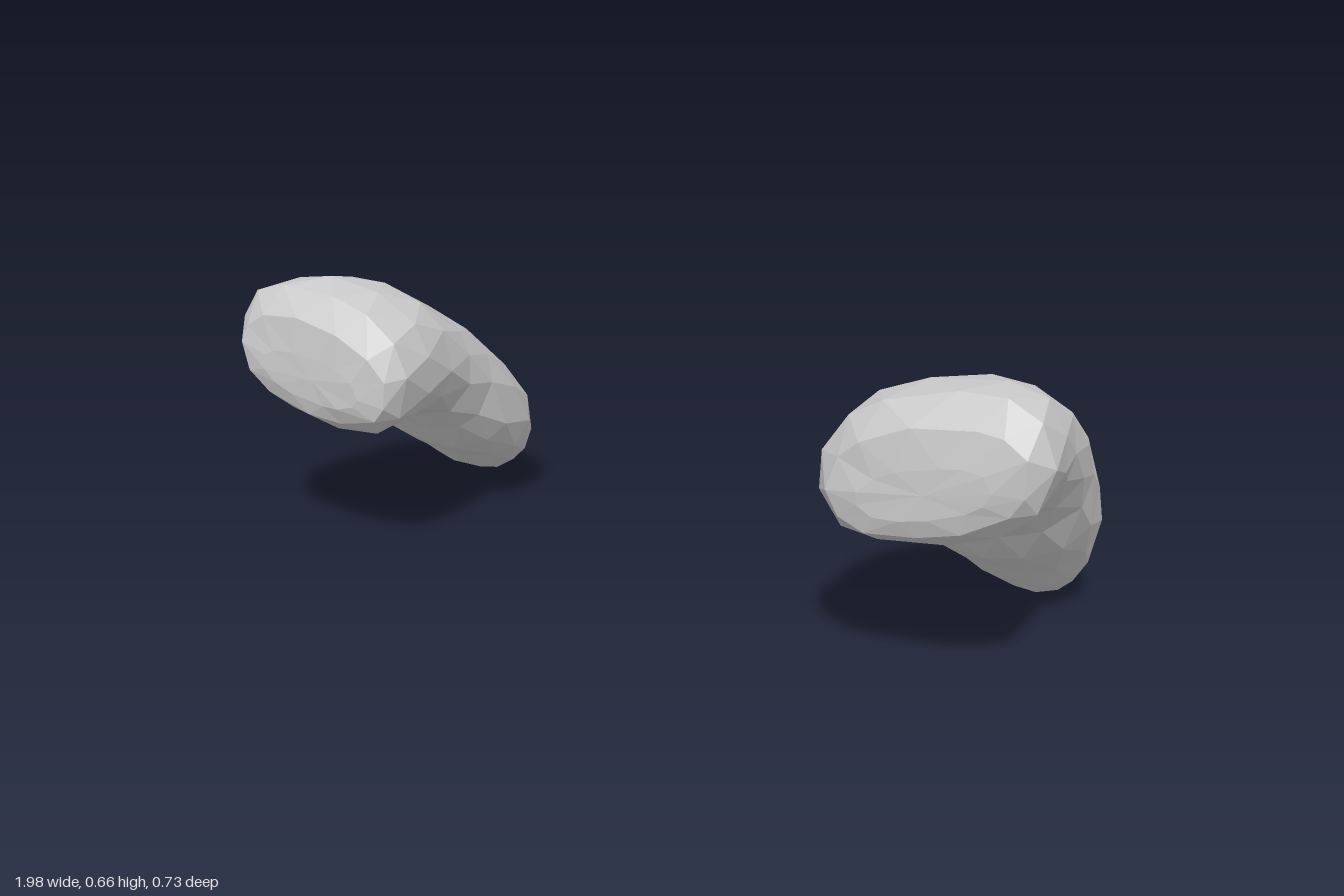
import * as THREE from 'three';

// Side profile, front to back: [upper z, upper y, lower z, lower y]
const profile = [
  [0.366, 0.51, 0.366, 0.40],
  [0.355, 0.59, 0.353, 0.36],
  [0.31, 0.655, 0.31, 0.325],
  [0.21, 0.658, 0.22, 0.325],
  [0.11, 0.63, 0.14, 0.327],
  [0.0, 0.57, 0.06, 0.29],
  [-0.1, 0.505, 0.0, 0.235],
  [-0.2, 0.41, -0.06, 0.165],
  [-0.28, 0.32, -0.15, 0.105],
  [-0.335, 0.225, -0.22, 0.05],
  [-0.365, 0.13, -0.27, 0.015],
  [-0.345, 0.05, -0.31, 0.003],
];

// Inner and outer distance from the centre line at each section
const leftSpan = [
  [0.61, 0.89], [0.54, 0.96], [0.505, 0.995], [0.505, 0.985], [0.51, 0.975], [0.515, 0.97],
  [0.525, 0.96], [0.54, 0.95], [0.565, 0.935], [0.62, 0.905], [0.68, 0.87], [0.74, 0.82],
];
const rightSpan = [
  [0.62, 0.89], [0.55, 0.96], [0.52, 0.995], [0.52, 0.975], [0.53, 0.965], [0.54, 0.965],
  [0.54, 0.97], [0.535, 0.965], [0.545, 0.95], [0.59, 0.92], [0.65, 0.87], [0.71, 0.81],
];

const SIDES = 13;

function seeded(seed) {
  let s = seed;
  return () => {
    s = (s * 16807) % 2147483647;
    return s / 2147483647 - 0.5;
  };
}

const rounded = (v) => Math.sign(v) * Math.pow(Math.abs(v), 0.87);

// Bent, tapering faceted lobe lofted through tilted cross-sections
function lobe(name, side, span, shear, tipLift, seed) {
  const rand = seeded(seed);
  const points = [];
  const index = [];
  const last = profile.length - 1;

  profile.forEach(([uz, uy, lz, ly], i) => {
    const t = i / last;
    const lift = tipLift * Math.max(0, t - 0.6) / 0.4;
    const [inner, outer] = span[i];
    const cx = side * (inner + outer) / 2;
    const half = (outer - inner) / 2;
    const cy = (uy + ly) / 2 + lift;
    const cz = (uz + lz) / 2;
    const hy = (uy - ly) / 2;
    const hz = (uz - lz) / 2;
    const len = Math.hypot(hy, hz);
    // The outer edge of the front sits higher than the inner edge
    const lean = side * shear * (1 - t) * half / len;
    const wobble = i === 0 || i === last ? 0.006 : 0.016;
    for (let j = 0; j < SIDES; j++) {
      const a = ((j + (i % 2) / 2 + rand() * 0.35) / SIDES) * Math.PI * 2;
      const c = rounded(Math.cos(a));
      const s = rounded(Math.sin(a)) * 0.98 + lean * c;
      points.push(
        cx + half * c + rand() * wobble * (1 - Math.abs(c)),
        Math.max(0, cy + hy * s + rand() * wobble * 0.5),
        cz + hz * s + rand() * wobble * 0.6,
      );
    }
  });

  // Staggered triangles between neighbouring sections
  for (let i = 0; i < last; i++) {
    for (let j = 0; j < SIDES; j++) {
      const k = (j + 1) % SIDES;
      const a = i * SIDES + j, b = i * SIDES + k;
      const c = a + SIDES, d = b + SIDES;
      if (i % 2 === 0) index.push(a, c, b, b, c, d);
      else index.push(a, c, d, a, d, b);
    }
  }

  // Blunt front and narrow tail caps
  const front = points.length / 3;
  points.push(side * 0.75, 0.455, 0.368);
  points.push(side * 0.77, tipLift + 0.015, -0.335);
  for (let j = 0; j < SIDES; j++) {
    const k = (j + 1) % SIDES;
    index.push(front, j, k);
    index.push(front + 1, last * SIDES + k, last * SIDES + j);
  }

  const geometry = new THREE.BufferGeometry();
  geometry.setAttribute('position', new THREE.Float32BufferAttribute(points, 3));
  geometry.setIndex(index);
  geometry.computeVertexNormals();
  const mesh = new THREE.Mesh(
    geometry,
    new THREE.MeshStandardMaterial({ color: 0xcccccc, flatShading: true }),
  );
  mesh.name = name;
  return mesh;
}

export function createModel() {
  const group = new THREE.Group();
  group.name = 'curvedPair';
  group.add(lobe('leftLobe', 1, leftSpan, 0.24, 0, 41));
  group.add(lobe('rightLobe', -1, rightSpan, 0.16, 0.028, 97));
  return group;
}
